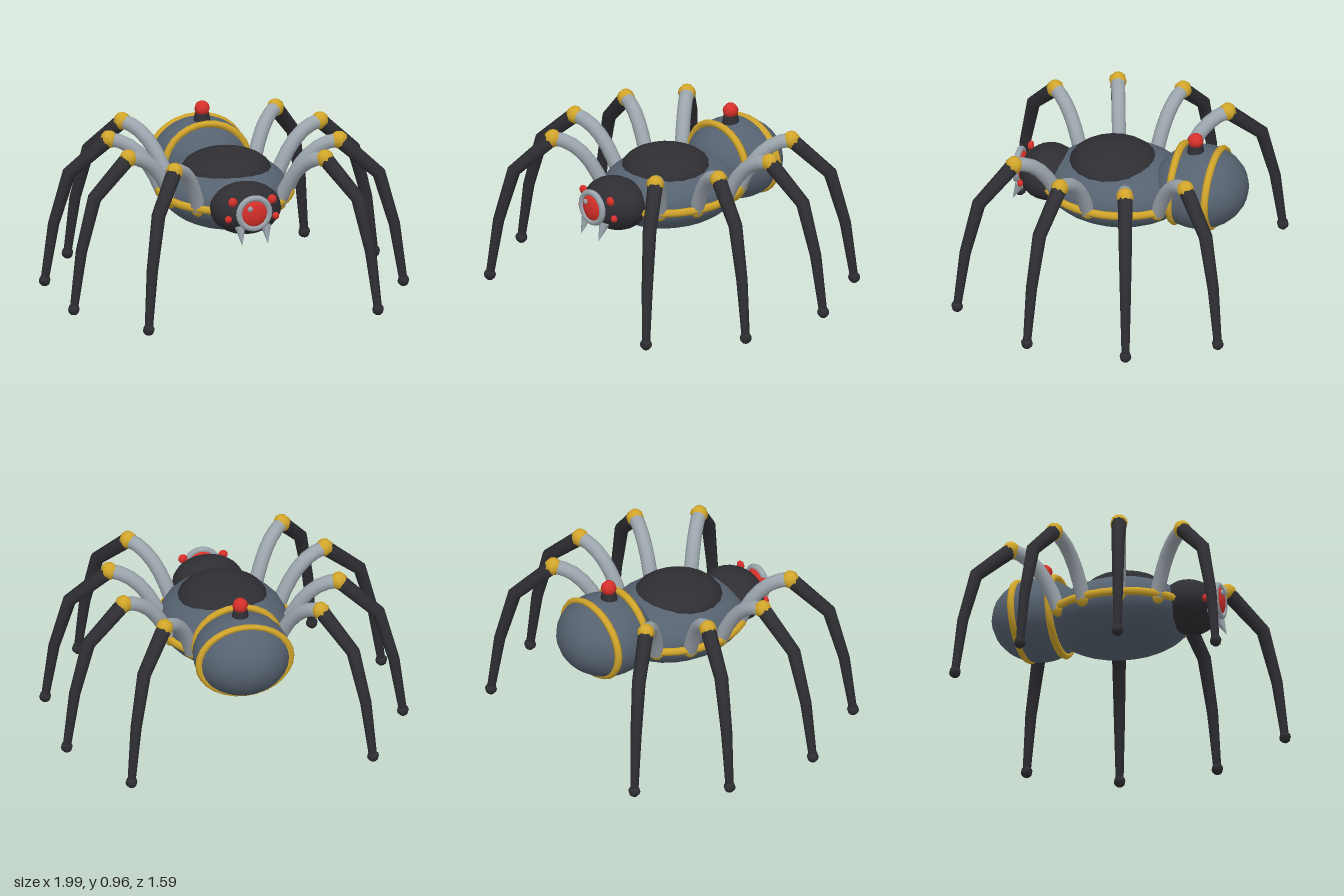
import * as THREE from 'three';

const mat = (name, color) => {
  const m = new THREE.MeshStandardMaterial({ color });
  m.name = name;
  return m;
};

export function createModel() {
  const model = new THREE.Group();
  model.name = 'mechanicalSpider';
  const slate = mat('slate', 0x566270);
  const dark = mat('charcoal', 0x2e2e33);
  const silver = mat('silver', 0x9ca5ad);
  const gold = mat('gold', 0xd2a62b);
  const red = mat('red', 0xd8302a);

  const add = (name, geometry, material, pos = [0, 0, 0], parent = model) => {
    const mesh = new THREE.Mesh(geometry, material);
    mesh.name = name;
    mesh.position.set(...pos);
    parent.add(mesh);
    return mesh;
  };

  const ellipsoid = (rx, ry, rz, w = 24, h = 16) =>
    new THREE.SphereGeometry(1, w, h).scale(rx, ry, rz);

  // Elliptical band lying in the XY plane
  const band = (rx, ry, tube, segments = 28, sides = 6) =>
    new THREE.TorusGeometry(rx, tube, sides, segments).scale(1, ry / rx, 1);

  // Tapered tube swept through a list of points
  const limb = (points, radii, sides = 10) => {
    const positions = [], index = [];
    const up = new THREE.Vector3(0, 1, 0);
    points.forEach((p, i) => {
      const before = points[Math.max(i - 1, 0)];
      const after = points[Math.min(i + 1, points.length - 1)];
      const t = after.clone().sub(before).normalize();
      const side = t.clone().cross(up).normalize();
      const n = side.clone().cross(t);
      for (let j = 0; j < sides; j++) {
        const a = (j / sides) * Math.PI * 2;
        const v = p.clone()
          .addScaledVector(side, Math.sin(a) * radii[i])
          .addScaledVector(n, Math.cos(a) * radii[i]);
        positions.push(v.x, v.y, v.z);
        if (i < points.length - 1) {
          const k = i * sides, l = (j + 1) % sides;
          index.push(k + j, k + l, k + sides + l, k + j, k + sides + l, k + sides + j);
        }
      }
    });
    const g = new THREE.BufferGeometry();
    g.setAttribute('position', new THREE.Float32BufferAttribute(positions, 3));
    g.setIndex(index);
    g.computeVertexNormals();
    return g;
  };

  // Thorax, back plate and waist band
  add('thorax', ellipsoid(0.36, 0.2, 0.42), slate, [0, 0.575, 0]);
  add('backPlate', ellipsoid(0.255, 0.12, 0.255, 20, 14), dark, [0, 0.7, 0.03]);
  add('waistBand', band(0.365, 0.415, 0.023, 36).rotateX(Math.PI / 2), gold, [0, 0.572, 0]);

  // Abdomen with two bands and a beacon
  add('abdomen', ellipsoid(0.275, 0.228, 0.27), slate, [0, 0.625, -0.475]);
  add('frontAbdomenBand', band(0.24, 0.218, 0.022), gold, [0, 0.632, -0.355]);
  add('rearAbdomenBand', band(0.262, 0.212, 0.022), gold, [0, 0.628, -0.565]);
  add('beaconBase', new THREE.CylinderGeometry(0.04, 0.05, 0.05, 12), dark, [0, 0.865, -0.445]);
  add('beacon', ellipsoid(0.045, 0.045, 0.045, 8, 6), red, [0, 0.915, -0.445]);

  // Head and main eye
  const head = new THREE.Group();
  head.name = 'head';
  model.add(head);
  add('skull', ellipsoid(0.203, 0.148, 0.165, 20, 14), dark, [0, 0.588, 0.405], head);
  add('eyeRim', new THREE.TorusGeometry(0.088, 0.018, 8, 24), silver, [0, 0.605, 0.578], head);
  add('mainEye', ellipsoid(0.08, 0.085, 0.035, 16, 10), red, [0, 0.605, 0.57], head);
  add('eyeGlint', ellipsoid(0.016, 0.016, 0.01, 8, 6), silver, [-0.03, 0.638, 0.601], head);

  // Small eyes and fangs on both sides
  for (const s of [1, -1]) {
    add('upperEye', ellipsoid(0.027, 0.027, 0.018, 10, 8), red, [s * 0.115, 0.668, 0.543], head);
    add('lowerEye', ellipsoid(0.021, 0.021, 0.018, 10, 8), red, [s * 0.138, 0.567, 0.535], head);
    const fang = add('fang', new THREE.ConeGeometry(0.03, 0.11, 10).rotateX(Math.PI),
      silver, [s * 0.075, 0.475, 0.575], head);
    fang.rotation.x = -0.42;
  }

  // Legs: [hip x, z, knee x, z, foot x, z]
  const legs = {
    frontLeg: [0.235, 0.28, 0.44, 0.49, 0.67, 0.757],
    midFrontLeg: [0.33, 0.09, 0.617, 0.175, 0.963, 0.272],
    midBackLeg: [0.33, -0.12, 0.617, -0.203, 0.963, -0.3],
    backLeg: [0.245, -0.29, 0.448, -0.508, 0.692, -0.762],
  };
  for (const [name, [hx, hz, kx, kz, fx, fz]] of Object.entries(legs)) {
    for (const s of [1, -1]) {
      const leg = new THREE.Group();
      leg.name = (s > 0 ? 'left ' : 'right ') + name;
      model.add(leg);
      const hip = new THREE.Vector3(s * hx, 0.56, hz);
      const knee = new THREE.Vector3(s * kx, 0.862, kz);
      const foot = new THREE.Vector3(s * fx, 0.036, fz);
      const along = (a, b, f, y) => a.clone().lerp(b, f).setY(y);

      // Arched upper segment
      const arch = new THREE.QuadraticBezierCurve3(hip, along(hip, knee, 0.38, 0.85), knee);
      const upper = arch.getPoints(6);
      add('upperLeg', limb(upper, upper.map(() => 0.041)), silver, [0, 0, 0], leg);

      // Kinked, tapering lower segment
      const lower = [knee, along(knee, foot, 0.62, 0.665), along(knee, foot, 0.86, 0.367), foot];
      add('lowerLeg', limb(lower, [0.044, 0.039, 0.032, 0.023]), dark, [0, 0, 0], leg);

      add('hipJoint', ellipsoid(0.043, 0.043, 0.043, 8, 6), gold, hip.toArray(), leg);
      add('kneeJoint', ellipsoid(0.051, 0.051, 0.051, 8, 6), gold, knee.toArray(), leg);
      add('foot', ellipsoid(0.034, 0.034, 0.034, 8, 6), dark, foot.toArray(), leg);
    }
  }
  return model;
}
